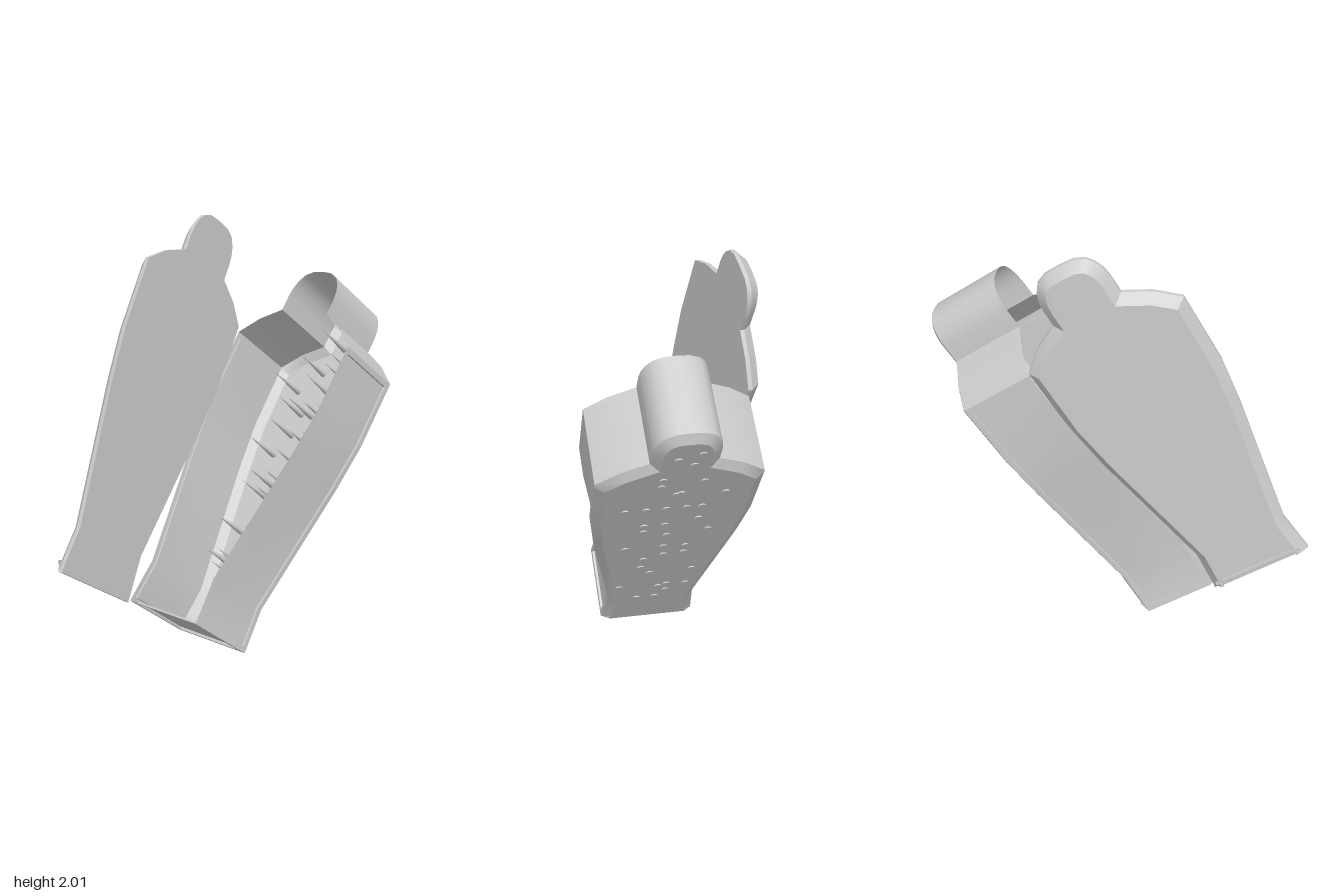
import * as THREE from 'three';
import { toCreasedNormals } from 'three/addons/utils/BufferGeometryUtils.js';

const material = new THREE.MeshStandardMaterial({ color: 0xcccccc, side: THREE.DoubleSide });
const DEPTH = 0.405;
const RECESS = 0.012;

// Half outline from foot to crown: [half width, height, recess x, recess y]
const HALF = [
  [0.205, 0, 0, 1], [0.206, 0, 0, 0],
  [0.234, 0, 0, 0], [0.232, 0.025, 0, 0], [0.2319, 0.026, 1, 0],
  [0.215, 0.22, 1, 0], [0.335, 0.88, 1, 0], [0.367, 1.12, 1, 0],
  [0.3715, 1.435, 1, 0], [0.3716, 1.436, 0, 0], [0.372, 1.465, 0, 0],
  [0.27, 1.552, 0, 0], [0.15, 1.615, 0, 0], [0.15, 1.7, 0, 0],
  [0.144, 1.745, 0, 0], [0.128, 1.785, 0, 0], [0.102, 1.82, 0, 0], [0.055, 1.842, 0, 0],
];

// Full counter-clockwise outline, mirrored about x = 0
function outline(grow, length, start) {
  const half = HALF.map(([x, y, rx, ry]) => (
    { x: x + grow, y: start + y * length, rx: -rx * RECESS, ry: ry * RECESS }));
  const mirror = half.map(p => ({ ...p, x: -p.x, rx: -p.rx })).reverse();
  return [...half, { x: 0, y: start + 1.846 * length, rx: 0, ry: 0 }, ...mirror];
}

// Mitred inward offset of the outline, plus the panel recess when asked
function ring(points, inset, z, recess = 0) {
  const n = points.length;
  return points.map((p, i) => {
    const a = points[(i + n - 1) % n], b = points[(i + 1) % n];
    const d1 = new THREE.Vector2(p.x - a.x, p.y - a.y).normalize();
    const d2 = new THREE.Vector2(b.x - p.x, b.y - p.y).normalize();
    const k = inset / Math.max(0.4, 1 + d1.dot(d2));
    return new THREE.Vector3(
      p.x - (d1.y + d2.y) * k + p.rx * recess,
      p.y + (d1.x + d2.x) * k + p.ry * recess, z);
  });
}

// Skin a stack of rings; the last ring is capped, the first on request
function skin(rings, facing, capFirst) {
  const pos = [];
  const tri = (a, b, c) => {
    for (const p of facing > 0 ? [a, b, c] : [a, c, b]) pos.push(p.x, p.y, p.z);
  };
  for (let k = 0; k < rings.length - 1; k++) {
    const r = rings[k], s = rings[k + 1], n = r.length;
    for (let i = 0; i < n; i++) {
      const j = (i + 1) % n;
      tri(r[i], r[j], s[j]);
      tri(r[i], s[j], s[i]);
    }
  }
  const cap = (r, flip) => {
    const faces = THREE.ShapeUtils.triangulateShape(r.map(p => new THREE.Vector2(p.x, p.y)), []);
    for (const [a, b, c] of faces) flip ? tri(r[a], r[c], r[b]) : tri(r[a], r[b], r[c]);
  };
  cap(rings[rings.length - 1], false);
  if (capFirst) cap(rings[0], true);
  const g = new THREE.BufferGeometry();
  g.setAttribute('position', new THREE.Float32BufferAttribute(pos, 3));
  return toCreasedNormals(g, 0.5);
}

function add(parent, name, geometry) {
  const mesh = new THREE.Mesh(geometry, material);
  mesh.name = name;
  parent.add(mesh);
  return mesh;
}

export function createModel() {
  const model = new THREE.Group();
  model.name = 'spikedCoffin';

  // Everything leans back from the foot
  const body = new THREE.Group();
  body.name = 'leaningBody';
  body.position.set(0.02, 0.22, 0.46);
  body.rotation.x = -35 * Math.PI / 180;
  model.add(body);

  // Open thin-walled case with recessed side and foot panels
  const base = outline(0, 1, 0);
  add(body, 'case', skin([
    ring(base, 0, 0), ring(base, 0, -0.022), ring(base, 0, -0.022, 1),
    ring(base, 0, -0.35, 1), ring(base, 0, -0.35), ring(base, 0, -0.375),
    ring(base, 0.042, -DEPTH),
  ], -1, false));

  // Lid, slightly larger, swung open on the line from foot corner to shoulder corner
  const hinge = new THREE.Group();
  hinge.name = 'lidHinge';
  hinge.position.set(-0.23, 0, 0);
  const axis = new THREE.Vector3(-0.14, 1.465, 0).normalize();
  hinge.quaternion.setFromAxisAngle(axis, -83 * Math.PI / 180);
  body.add(hinge);
  const cover = outline(0.018, 1.022, -0.012);
  const lid = add(hinge, 'lid', skin([
    ring(cover, 0, 0), ring(cover, 0, 0.02), ring(cover, 0.042, 0.068),
    ring(cover, 0.056, 0.068), ring(cover, 0.056, 0.056),
  ], 1, true));
  lid.position.x = 0.23 + 0.035;

  // Spikes on the back panel: x, height along the case
  const spots = [
    [-0.06, 1.69], [0.04, 1.65], [-0.035, 1.6], [-0.1, 1.45], [0.085, 1.48], [0.085, 1.42],
    [-0.01, 1.35], [0.01, 1.34], [-0.21, 1.33], [-0.12, 1.21], [-0.12, 1.09], [-0.05, 1.21],
    [0.04, 1.21], [0.13, 1.21], [0.225, 1.21], [0.125, 1.05], [0.12, 0.99], [0.03, 1.05],
    [-0.18, 0.97], [0.01, 0.94], [0.01, 0.82], [-0.095, 0.81], [-0.095, 0.74], [0.19, 0.82],
    [0, 0.73], [0.09, 0.69], [0.095, 0.6], [-0.16, 0.54], [0.045, 0.53], [-0.15, 0.37],
    [0.18, 0.38], [-0.055, 0.38], [-0.055, 0.31], [-0.015, 0.36], [-0.01, 0.24], [0.08, 0.24],
  ];
  const spike = new THREE.ConeGeometry(0.018, 0.21, 12).rotateX(Math.PI / 2);
  const spikes = new THREE.Group();
  spikes.name = 'spikes';
  spikes.position.set(0, 0.028, -DEPTH + 0.099);
  body.add(spikes);
  for (const [x, y] of spots) add(spikes, 'spike', spike).position.set(x, y, 0);

  return model;
}
